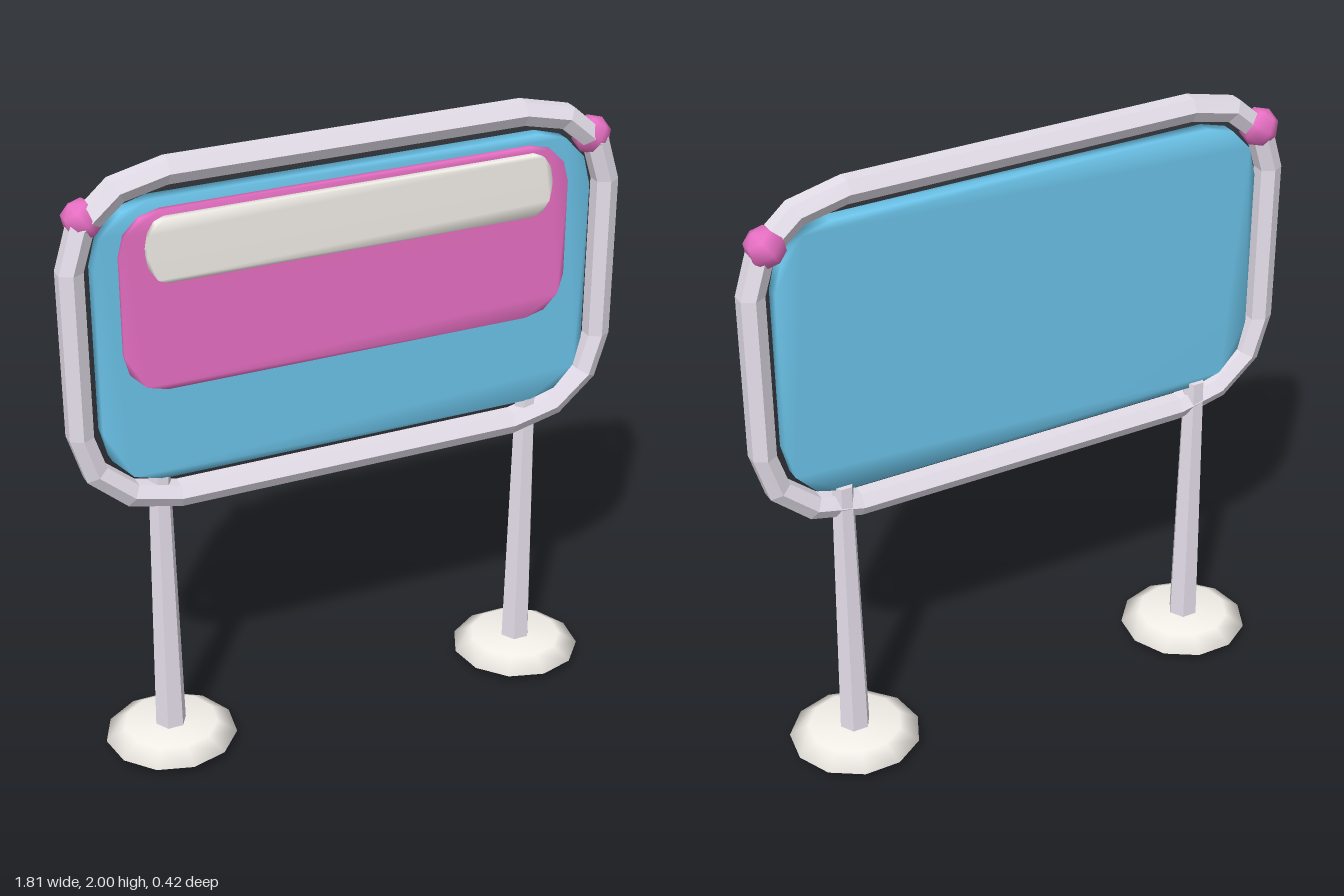
import * as THREE from 'three';
import { mergeVertices } from 'three/addons/utils/BufferGeometryUtils.js';

const mat = (color, flatShading = false) => new THREE.MeshStandardMaterial({ color, flatShading });
const metal = mat(0xe4deea, true), cream = mat(0xf4f0ea), blue = mat(0x6cc4ea), pink = mat(0xe870c4);

function add(parent, name, geometry, material, x = 0, y = 0, z = 0) {
  const mesh = new THREE.Mesh(geometry, material);
  mesh.name = name;
  mesh.position.set(x, y, z);
  parent.add(mesh);
  return mesh;
}

// Rounded rectangle as a counter-clockwise list of points, n segments per corner
function outline(hx, hy, rx, ry, n = 3) {
  const pts = [];
  for (let q = 0; q < 4; q++) {
    const sx = q === 0 || q === 3 ? 1 : -1, sy = q < 2 ? 1 : -1;
    for (let i = 0; i <= n; i++) {
      const a = (q + i / n) * Math.PI / 2;
      pts.push(new THREE.Vector2(sx * (hx - rx) + rx * Math.cos(a), sy * (hy - ry) + ry * Math.sin(a)));
    }
  }
  return pts;
}

// Plate with normals smoothed over its rim, centred in z
function plate(hx, hy, rx, ry, depth) {
  const shape = new THREE.Shape(outline(hx, hy, rx, ry));
  let g = new THREE.ExtrudeGeometry(shape, { depth, bevelEnabled: false });
  g.translate(0, 0, -depth / 2);
  g.deleteAttribute('normal');
  g.deleteAttribute('uv');
  g = mergeVertices(g, 1e-4);
  g.computeVertexNormals();
  return g;
}

// Closed hexagonal bar following a rounded rectangle
function ringBar(hx, hy, rx, ry, r, sides = 6) {
  const pos = [], idx = [];
  let count = 0;
  for (let j = 0; j < sides; j++) {
    const a = Math.PI / 2 + j * 2 * Math.PI / sides;
    const o = r * Math.cos(a);
    const loop = outline(hx + o, hy + o, rx + o, ry + o);
    count = loop.length;
    loop.forEach(p => pos.push(p.x, p.y, r * Math.sin(a)));
  }
  for (let j = 0; j < sides; j++) {
    for (let i = 0; i < count; i++) {
      const k = (i + 1) % count, m = (j + 1) % sides;
      const a = j * count + i, b = j * count + k, c = m * count + k, d = m * count + i;
      idx.push(a, b, c, a, c, d);
    }
  }
  const g = new THREE.BufferGeometry();
  g.setAttribute('position', new THREE.Float32BufferAttribute(pos, 3));
  g.setIndex(idx);
  g.computeVertexNormals();
  return g;
}

export function createModel() {
  const sign = new THREE.Group();
  sign.name = 'signboard';

  // Frame and stacked panels
  add(sign, 'frame', ringBar(0.868, 0.525, 0.3, 0.26, 0.043), metal, 0, 1.4375, 0.01);
  add(sign, 'backPanel', plate(0.803, 0.452, 0.18, 0.19, 0.045), blue, 0, 1.437, 0.008);
  add(sign, 'middlePanel', plate(0.723, 0.285, 0.13, 0.13, 0.03), pink, -0.006, 1.575, 0.031);
  add(sign, 'headerBar', plate(0.652, 0.1, 0.06, 0.09, 0.035), cream, 0, 1.74, 0.049);

  // Shallow domed foot profile
  const footProfile = [[0, 0.006], [0.16, 0], [0.212, 0.032], [0.15, 0.071], [0, 0.076]]
    .map(p => new THREE.Vector2(...p));

  for (const s of [1, -1]) {
    const side = s > 0 ? 'left' : 'right';
    // Tapered hexagonal post on a round foot
    const post = new THREE.CylinderGeometry(0.035, 0.051, 0.96, 6);
    post.rotateY(Math.PI / 6);
    add(sign, side + 'Post', post, metal, s * 0.625, 0.52, 0);
    add(sign, side + 'Foot', new THREE.LatheGeometry(footProfile, 11), cream, s * 0.625, 0, 0);
    // Faceted knob tilted outward on the frame corner
    const knob = new THREE.SphereGeometry(0.062, 6, 4);
    knob.rotateY(Math.PI / 2);
    add(sign, side + 'Knob', knob, pink, s * 0.818, 1.85, 0).rotation.z = -s * 0.6;
  }
  return sign;
}
